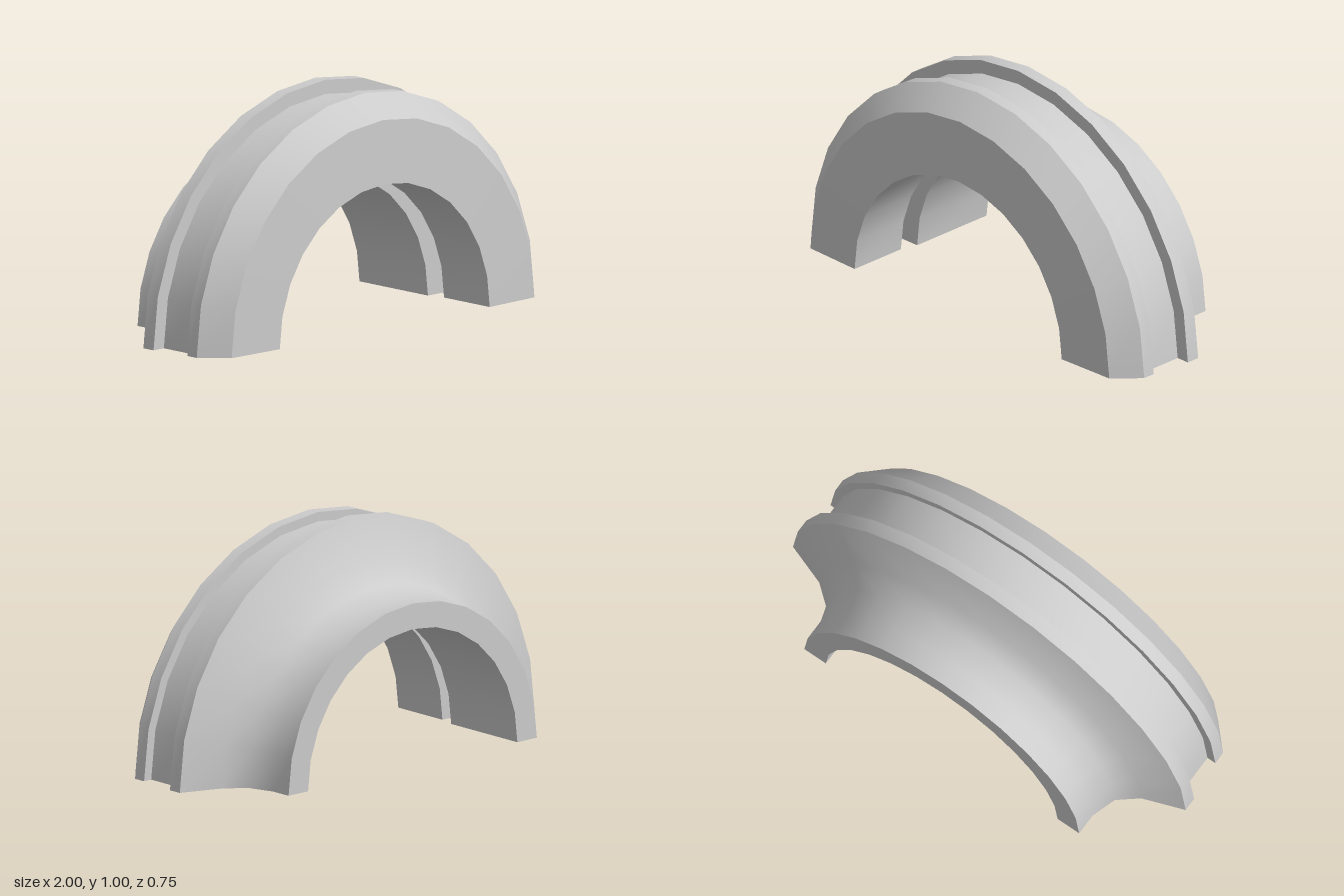
import * as THREE from 'three';
import { toCreasedNormals } from 'three/addons/utils/BufferGeometryUtils.js';

// Cross-section of the half ring as [radius, z], counter-clockwise
const section = [
  [0.61, 0.105], [0.8, 0.105], [0.8, 0.03], [0.59, 0.03],      // inner slot
  [0.59, -0.375], [0.7, -0.375],                               // rear rim
  [0.7, -0.28], [0.735, -0.17], [0.82, -0.1], [1, -0.035],     // flared neck
  [1, 0.025], [0.94, 0.025], [0.94, 0.205],                    // flange and outer groove
  [0.98, 0.205], [0.98, 0.26], [0.88, 0.365], [0.61, 0.375],   // front lip and face
];

export function createModel() {
  const group = new THREE.Group();
  group.name = 'halfCollar';
  const material = new THREE.MeshStandardMaterial({ color: 0xcccccc });

  const add = (name, geometry) => {
    const mesh = new THREE.Mesh(geometry, material);
    mesh.name = name;
    group.add(mesh);
  };

  // Half-turn body, arching over the z axis
  const profile = [...section, section[0]].map(([r, z]) => new THREE.Vector2(r, z));
  const body = new THREE.LatheGeometry(profile, 14, Math.PI / 2, Math.PI);
  body.rotateX(Math.PI / 2);
  add('ringBody', toCreasedNormals(body, 0.65));

  // Flat cut faces resting on the ground
  for (const [name, side] of [['leftCutFace', 1], ['rightCutFace', -1]]) {
    const shape = new THREE.Shape(section.map(([r, z]) => new THREE.Vector2(side * r, z)));
    add(name, new THREE.ShapeGeometry(shape).rotateX(Math.PI / 2));
  }

  return group;
}
